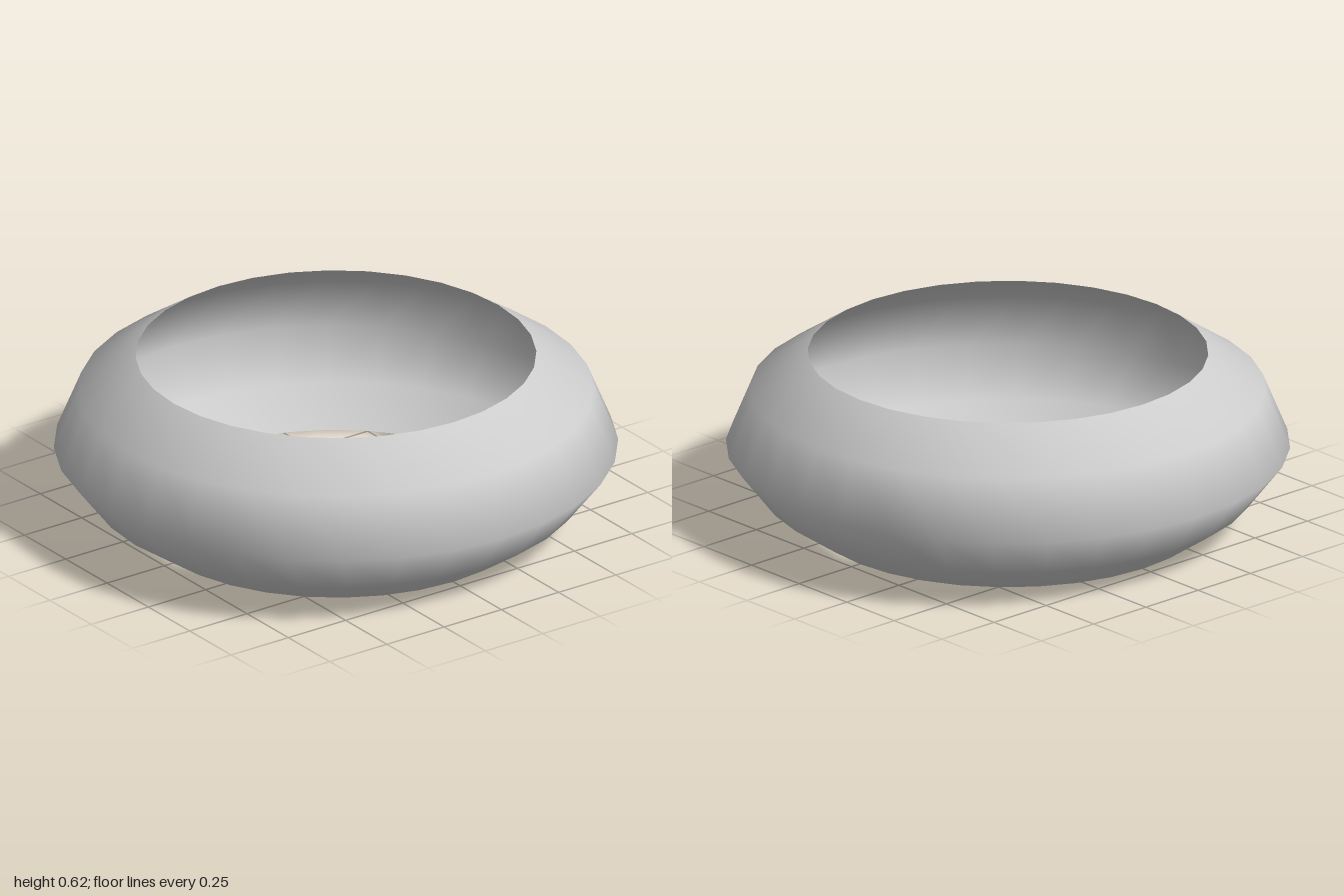
import * as THREE from 'three';

export function createModel() {
  const group = new THREE.Group();
  group.name = 'ring';

  // Outer profile of the band, bottom rim to top rim (radius, height)
  const profile = [
    [0.71, 0],
    [0.875, 0.113],
    [1, 0.275],
    [0.913, 0.487],
    [0.71, 0.622],
  ].map(([r, y]) => new THREE.Vector2(r, y));

  // Open, thin shell turned round the vertical axis
  const band = new THREE.Mesh(
    new THREE.LatheGeometry(profile, 32),
    new THREE.MeshStandardMaterial({ color: 0xcccccc, side: THREE.DoubleSide })
  );
  band.name = 'bulgedBand';
  group.add(band);

  return group;
}
